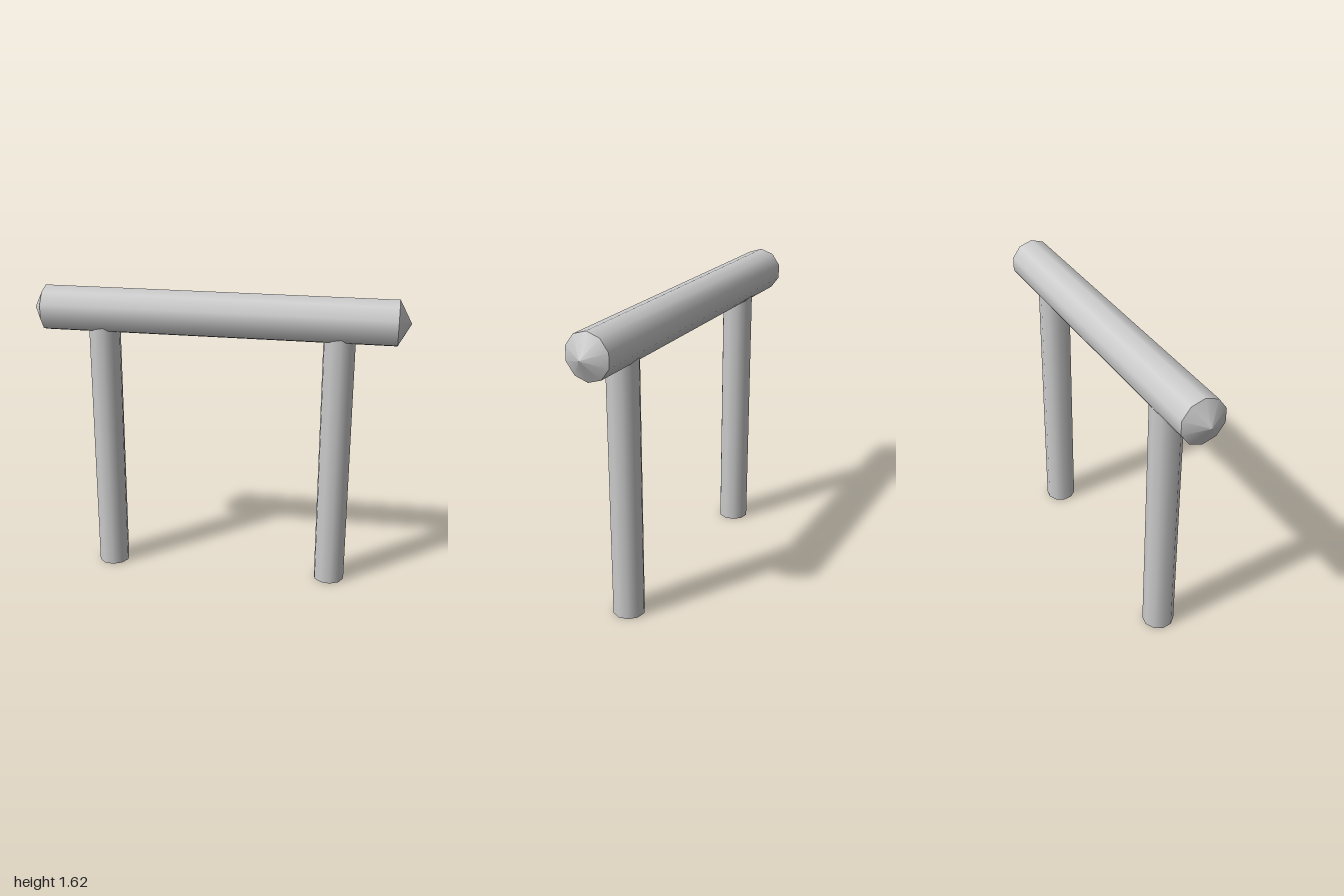
import * as THREE from 'three';

const SIDES = 10;
const material = new THREE.MeshStandardMaterial({ color: 0xcccccc });

function addMesh(parent, name, geometry) {
  const mesh = new THREE.Mesh(geometry, material);
  mesh.name = name;
  parent.add(mesh);
  return mesh;
}

export function createModel() {
  const model = new THREE.Group();
  model.name = 'hitchingRail';

  // Horizontal beam with shallow pointed ends, one edge line facing up
  const beamRadius = 0.122, halfLength = 0.935, tip = 0.065;
  const beam = new THREE.Group();
  beam.name = 'beam';
  beam.rotation.z = -Math.PI / 2;
  beam.position.y = 1.495;
  addMesh(beam, 'beamShaft', new THREE.CylinderGeometry(
    beamRadius, beamRadius, halfLength * 2, SIDES, 1, true, Math.PI / 2));
  for (const side of [1, -1]) {
    const end = addMesh(beam, side > 0 ? 'leftBeamEnd' : 'rightBeamEnd',
      new THREE.ConeGeometry(beamRadius, tip, SIDES, 1, true, Math.PI / 2));
    end.position.y = side * (halfLength + tip / 2);
    if (side < 0) end.rotation.x = Math.PI;
  }
  model.add(beam);

  // Two upright posts, slightly turned, set into the underside of the beam
  const postHeight = 1.46, postRadius = 0.085;
  for (const [name, x] of [['rightPost', -0.617], ['leftPost', 0.639]]) {
    const post = addMesh(model, name, new THREE.CylinderGeometry(
      postRadius, postRadius, postHeight, SIDES, 1, false, Math.PI / 20));
    post.position.set(x, postHeight / 2, 0);
  }

  return model;
}
